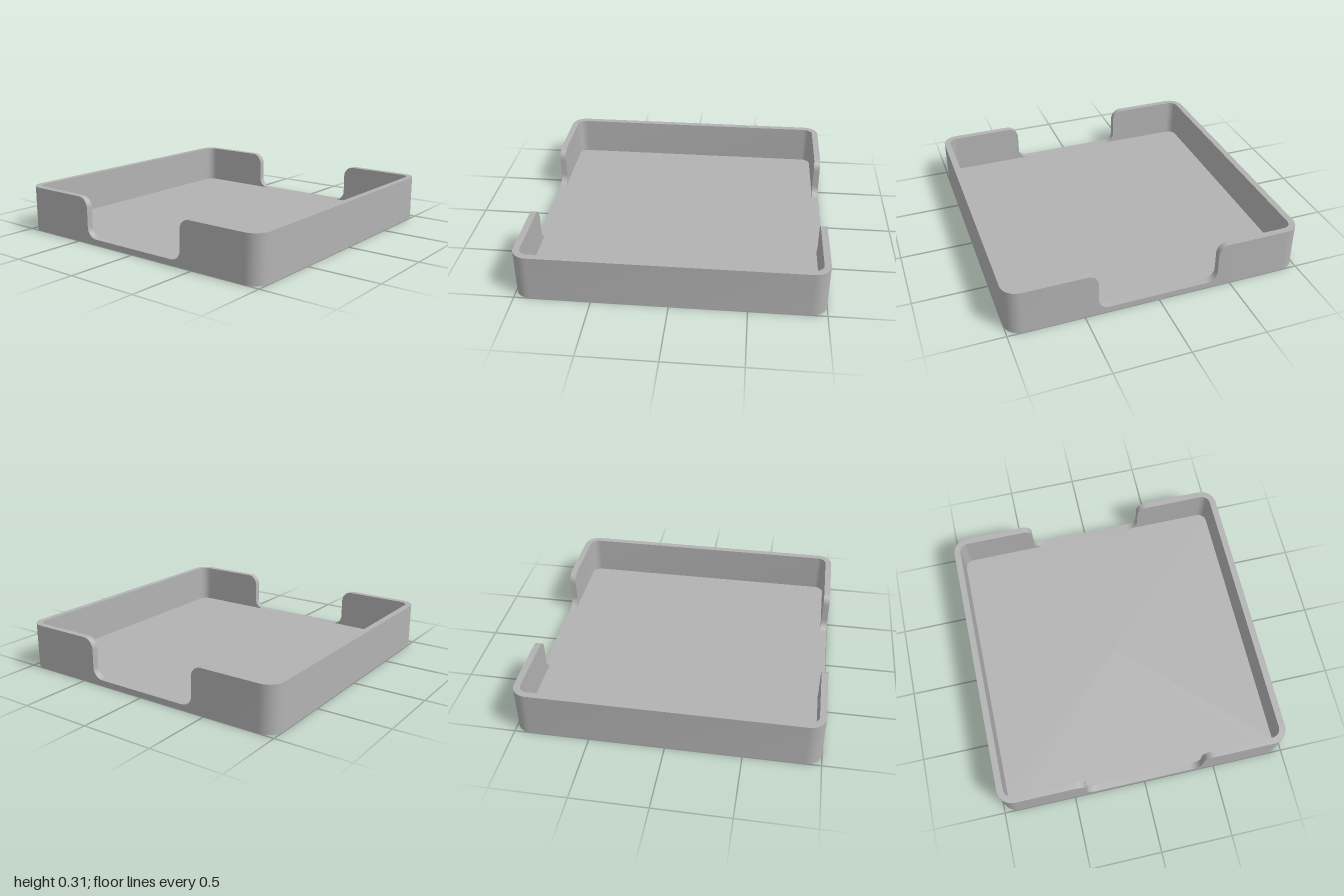
import * as THREE from 'three';
import { toCreasedNormals } from 'three/addons/utils/BufferGeometryUtils.js';

const HEIGHT = 0.313, FLOOR = 0.04, WALL = 0.044; // rim height, floor and wall thickness
const CORNER = 0.105;                             // plan radius of the outer corners
const NOTCH = 0.408, FILLET = 0.073;              // half width and fillet of the side cut-outs
const STEPS = 8;

// One quarter of the wall: outer and inner plan position with rim height
function quarterWall() {
  const points = [];
  const side = (z, h) => points.push({ ox: 1, oz: z, ix: 1 - WALL, iz: z, h });
  for (let i = 0; i <= STEPS; i++) { // concave fillet rising from the floor
    const a = (i / STEPS) * Math.PI / 2;
    side(NOTCH - FILLET + FILLET * Math.sin(a), FLOOR + FILLET * (1 - Math.cos(a)));
  }
  for (let i = 0; i <= STEPS; i++) { // convex fillet up to the rim
    const a = (i / STEPS) * Math.PI / 2;
    side(NOTCH + FILLET * (1 - Math.cos(a)), HEIGHT - FILLET * (1 - Math.sin(a)));
  }
  const c = 1 - CORNER, r = CORNER - WALL;
  for (let i = 0; i <= STEPS; i++) { // rounded corner
    const a = (i / STEPS) * Math.PI / 2, x = Math.cos(a), z = Math.sin(a);
    points.push({ ox: c + CORNER * x, oz: c + CORNER * z, ix: c + r * x, iz: c + r * z, h: HEIGHT });
  }
  return points;
}

// Mirror the quarter into a closed ring
function wallRing() {
  const quarter = quarterWall();
  const mirrored = (sx, sz) => {
    const q = quarter.map(p => ({ ox: p.ox * sx, oz: p.oz * sz, ix: p.ix * sx, iz: p.iz * sz, h: p.h }));
    return sx * sz < 0 ? q.reverse() : q;
  };
  return [...mirrored(1, 1), ...mirrored(-1, 1), ...mirrored(-1, -1), ...mirrored(1, -1)];
}

function surface(build) {
  const positions = [];
  const tri = (a, b, c) => {
    const area = b.clone().sub(a).cross(c.clone().sub(a)).length();
    if (area > 1e-9) for (const p of [a, b, c]) positions.push(p.x, p.y, p.z);
  };
  const quad = (a, b, c, d) => { tri(a, b, c); tri(a, c, d); };
  build(tri, quad);
  const geometry = new THREE.BufferGeometry();
  geometry.setAttribute('position', new THREE.Float32BufferAttribute(positions, 3));
  return toCreasedNormals(geometry, Math.PI / 6);
}

export function createModel() {
  const group = new THREE.Group();
  group.name = 'tray';
  const grey = new THREE.MeshStandardMaterial({ color: 0xb2b2b2 });
  grey.name = 'grey';

  const ring = wallRing();
  const outer = (p, y) => new THREE.Vector3(p.ox, y, p.oz);
  const inner = (p, y) => new THREE.Vector3(p.ix, y, p.iz);
  const eachPair = f => ring.forEach((p, i) => f(p, ring[(i + 1) % ring.length]));
  const add = (name, build) => {
    const mesh = new THREE.Mesh(surface(build), grey);
    mesh.name = name;
    group.add(mesh);
  };

  // Outer face, inner face and rim, dipping to the floor at both side cut-outs
  add('wall', (tri, quad) => eachPair((p, q) => {
    quad(outer(q, 0), outer(p, 0), outer(p, p.h), outer(q, q.h));
    quad(inner(p, FLOOR), inner(q, FLOOR), inner(q, q.h), inner(p, p.h));
    quad(inner(p, p.h), inner(q, q.h), outer(q, q.h), outer(p, p.h));
  }));

  // Inside floor
  add('floor', tri => eachPair((p, q) =>
    tri(new THREE.Vector3(0, FLOOR, 0), inner(q, FLOOR), inner(p, FLOOR))));

  // Underside
  add('base', tri => eachPair((p, q) =>
    tri(new THREE.Vector3(0, 0, 0), outer(p, 0), outer(q, 0))));

  return group;
}
